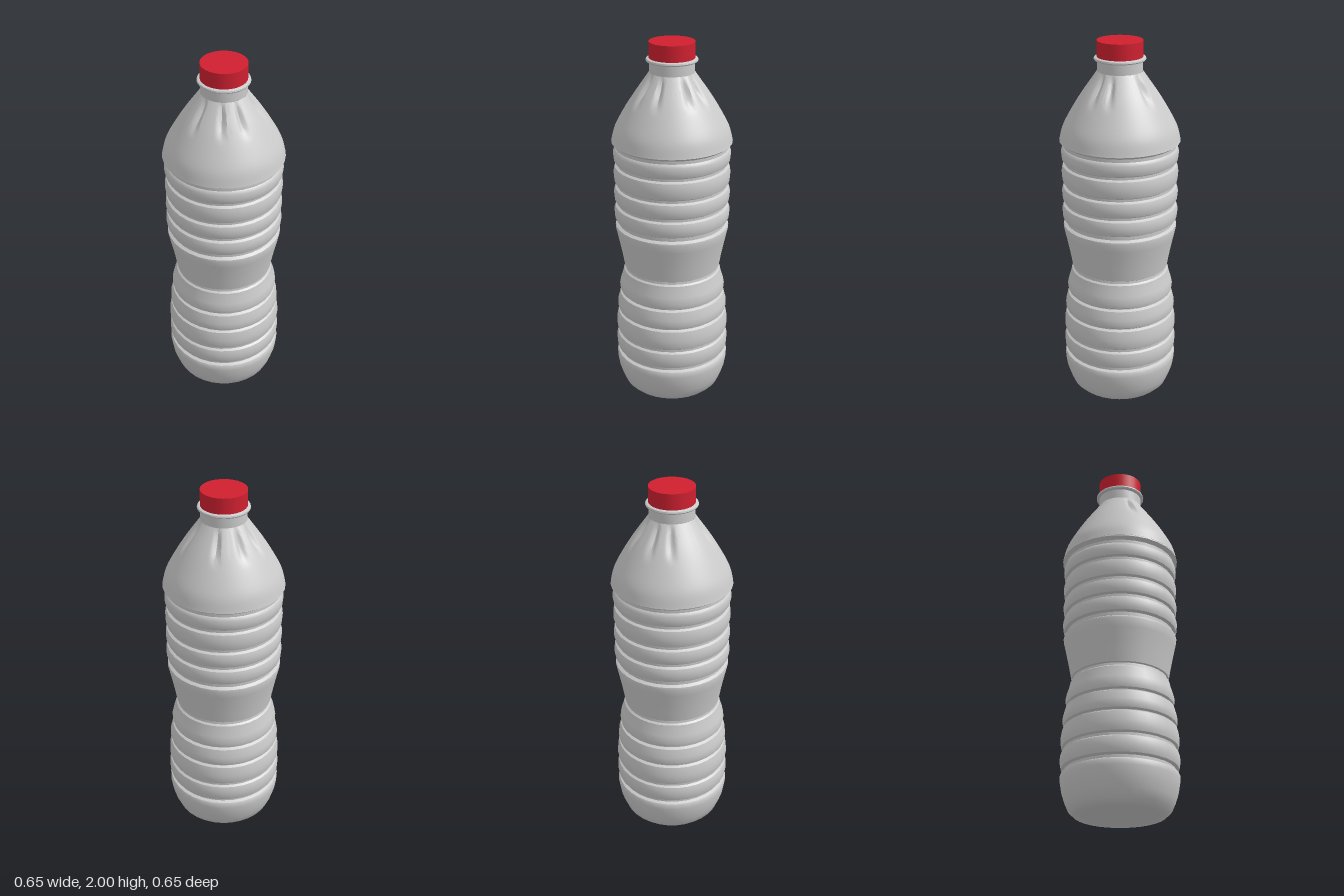
import * as THREE from 'three';
import { toCreasedNormals } from 'three/addons/utils/BufferGeometryUtils.js';

const SIDES = 32;
const plastic = new THREE.MeshStandardMaterial({ color: 0xcccccc, side: THREE.DoubleSide });
const red = new THREE.MeshStandardMaterial({ color: 0xd02030 });

const toPoints = (list) => list.map(([r, y]) => new THREE.Vector2(r, y));

function turned(name, profile, material = plastic) {
  const geometry = new THREE.LatheGeometry(toPoints(profile), SIDES);
  const mesh = new THREE.Mesh(toCreasedNormals(geometry, 0.6), material);
  mesh.name = name;
  return mesh;
}

// Each rib [bottom, top, bottom radius, top radius] bulges a little;
// the gaps between neighbouring ribs become narrow grooves.
function ribProfile(ribs, depth) {
  const points = [];
  ribs.forEach(([y0, y1, r0, r1], i) => {
    if (i > 0) {
      const [, below, , rBelow] = ribs[i - 1];
      const r = Math.min(rBelow, r0) - depth;
      points.push([r, below + 0.008], [r, y0 - 0.008]);
    }
    const h = y1 - y0;
    points.push([r0 - 0.005, y0], [r0, y0 + h * 0.2],
      [(r0 + r1) / 2 + 0.002, y0 + h / 2], [r1, y1 - h * 0.2], [r1 - 0.005, y1]);
  });
  return points;
}

// Shoulder dome with shallow flutes pressed in below the neck
function shoulder() {
  const curve = new THREE.SplineCurve(toPoints([
    [0.322, 1.475], [0.305, 1.54], [0.267, 1.615], [0.21, 1.71], [0.15, 1.797], [0.12, 1.84],
  ]));
  const geometry = new THREE.LatheGeometry(curve.getPoints(24), SIDES * 4);
  const flutes = [-7, 19, 68, 101, 143, 221, 252, 292].map(THREE.MathUtils.degToRad);
  const pos = geometry.attributes.position;
  for (let i = 0; i < pos.count; i++) {
    const x = pos.getX(i), y = pos.getY(i), z = pos.getZ(i);
    const angle = Math.atan2(z, x);
    const along = THREE.MathUtils.clamp((y - 1.68) / 0.16, 0, 1);
    let press = 0;
    for (const a of flutes) {
      const off = Math.abs(Math.atan2(Math.sin(angle - a), Math.cos(angle - a)));
      press = Math.max(press, 1 - off / 0.14);
    }
    const scale = 1 - 0.022 * press * Math.sin(Math.PI * along) / Math.hypot(x, z);
    pos.setXYZ(i, x * scale, y, z * scale);
  }
  const mesh = new THREE.Mesh(toCreasedNormals(geometry, 0.6), plastic);
  mesh.name = 'shoulder';
  return mesh;
}

export function createModel() {
  const bottle = new THREE.Group();
  bottle.name = 'bottle';

  // Base with a dished underside and rounded heel
  bottle.add(turned('base', [
    [0, 0.035], [0.06, 0.032], [0.11, 0.015], [0.215, 0.006], [0.225, 0], [0.24, 0.004],
    [0.268, 0.03], [0.288, 0.075], [0.304, 0.125], [0.313, 0.18], [0.313, 0.205], [0.308, 0.215],
  ]));

  // Ribbed lower body, tapering to the waist
  bottle.add(turned('lowerBody', [
    [0.308, 0.215], [0.292, 0.222], [0.292, 0.237],
    ...ribProfile([
      [0.245, 0.33, 0.313, 0.313], [0.36, 0.465, 0.313, 0.308],
      [0.485, 0.58, 0.306, 0.296], [0.6, 0.725, 0.293, 0.273],
    ], 0.017),
    [0.258, 0.733], [0.256, 0.747],
  ]));

  // Smooth grip flaring up from the waist
  bottle.add(turned('grip', [
    [0.256, 0.747], [0.264, 0.752], [0.274, 0.81], [0.286, 0.87], [0.3, 0.935], [0.31, 0.98], [0.308, 0.992],
  ]));

  // Ribbed upper body
  bottle.add(turned('upperBody', [
    [0.308, 0.992], [0.292, 1.002], [0.292, 1.022],
    ...ribProfile([
      [1.03, 1.105, 0.313, 0.313], [1.135, 1.21, 0.313, 0.313],
      [1.24, 1.33, 0.313, 0.313], [1.36, 1.43, 0.314, 0.314],
    ], 0.018),
    [0.303, 1.435], [0.303, 1.452], [0.324, 1.467], [0.322, 1.475],
  ]));

  bottle.add(shoulder());

  // Neck with its support ring
  bottle.add(turned('neck', [
    [0.12, 1.84], [0.12, 1.895], [0.133, 1.897], [0.137, 1.903],
    [0.135, 1.911], [0.128, 1.915], [0.112, 1.915],
  ]));

  const cap = new THREE.Mesh(new THREE.CylinderGeometry(0.121, 0.121, 0.092, SIDES), red);
  cap.name = 'cap';
  cap.position.y = 1.954;
  bottle.add(cap);

  return bottle;
}
